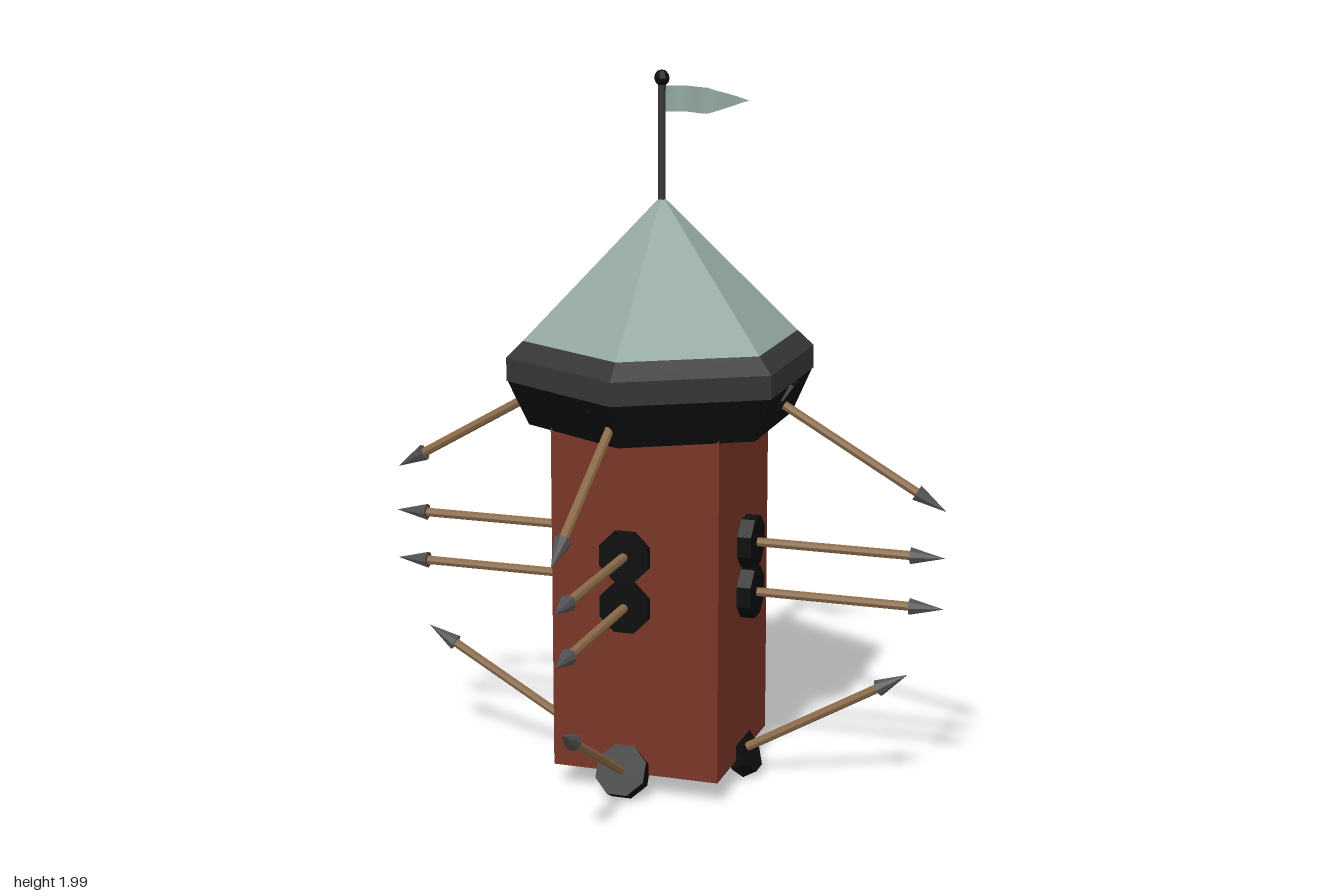
import * as THREE from 'three';

const mat = (color, extra = {}) => new THREE.MeshStandardMaterial({ color, flatShading: true, ...extra });

export function createModel() {
  const model = new THREE.Group();
  const brick = mat(0x783526);
  const slate = mat(0x93a8a1);
  const iron = mat(0x363636);
  const black = mat(0x0d0d0d);
  const wood = mat(0x8a6a48);
  const steel = mat(0x505052);
  const flagCloth = mat(0x93a8a1, { side: THREE.DoubleSide, flatShading: false });
  const cz = 0.01; // the tower axis sits slightly forward

  const add = (parent, name, geometry, material, x = 0, y = 0, z = 0) => {
    const mesh = new THREE.Mesh(geometry, material);
    mesh.name = name;
    mesh.position.set(x, y, z);
    parent.add(mesh);
    return mesh;
  };
  // Six-sided frustum between two heights, corners pointing to front and back
  const hex = (name, rBottom, rTop, y0, y1, material) =>
    add(model, name, new THREE.CylinderGeometry(rTop, rBottom, y1 - y0, 6), material, 0, (y0 + y1) / 2, cz);

  // Tower and hexagonal cap
  add(model, 'towerBody', new THREE.BoxGeometry(0.48, 0.98, 0.48), brick, 0, 0.56, cz);
  hex('capUnderside', 0.374, 0.432, 1.035, 1.16, black);
  hex('capRim', 0.435, 0.435, 1.16, 1.225, iron);
  hex('capBevel', 0.435, 0.388, 1.225, 1.27, iron);
  hex('roof', 0.388, 0, 1.27, 1.66, slate);

  // Flagpole with knob
  add(model, 'flagpole', new THREE.CylinderGeometry(0.011, 0.011, 0.35, 8), iron, 0, 1.805, cz);
  add(model, 'poleKnob', new THREE.SphereGeometry(0.022, 8, 6), black, 0, 1.978, cz);

  // Waving pennant, tapering to a point
  const flag = new THREE.PlaneGeometry(1, 1, 20, 2);
  const p = flag.attributes.position;
  for (let i = 0; i < p.count; i++) {
    const t = p.getX(i) + 0.5;
    const taper = t < 0.55 ? 1 : Math.max(0.03, 1 - ((t - 0.55) / 0.45) ** 1.1);
    p.setXYZ(i, 0.005 + 0.233 * t, p.getY(i) * 0.07 * taper, -0.02 * Math.sin(t * Math.PI * 2.6));
  }
  flag.computeVertexNormals();
  add(model, 'flag', flag, flagCloth, 0, 1.922, cz);

  // Octagonal port with an arrow, built along +y; its origin is the outer face of the port
  const portGeo = new THREE.CylinderGeometry(0.0755, 0.0755, 0.045, 8).rotateY(Math.PI / 8);
  const shaftGeo = new THREE.CylinderGeometry(0.013, 0.013, 0.47, 8);
  const headGeo = new THREE.ConeGeometry(0.024, 0.095, 8);
  const up = new THREE.Vector3(0, 1, 0);
  const arrowPort = (name, x, y, z, yaw, pitch) => {
    const outer = new THREE.Group();
    outer.name = name;
    outer.position.set(x, y, z);
    const inner = new THREE.Group();
    inner.quaternion.setFromUnitVectors(up, new THREE.Vector3(0, Math.sin(pitch), Math.cos(pitch)));
    add(inner, 'port', portGeo, black, 0, -0.0225, 0);
    add(inner, 'arrowShaft', shaftGeo, wood, 0, 0.205, 0);
    add(inner, 'arrowHead', headGeo, steel, 0, 0.4825, 0);
    outer.rotation.y = yaw;
    outer.add(inner);
    model.add(outer);
  };

  // Per side: yaw, outward direction, sideways offsets and the depth of each port
  const sides = [
    { name: 'front', yaw: 0, d: [0, 1], top: [-0.02, 0.375], mid: [-0.025, 0.27], low: [-0.03, 0.285] },
    { name: 'back', yaw: Math.PI, d: [0, -1], top: [-0.03, 0.37], mid: [0.02, 0.25], low: [0.02, 0.233] },
    { name: 'left', yaw: Math.PI / 2, d: [1, 0], top: [0, 0.35], mid: [0.005, 0.28], low: [0, 0.254] },
    { name: 'right', yaw: -Math.PI / 2, d: [-1, 0], top: [0, 0.352], mid: [0.005, 0.286], low: [0, 0.265] },
  ];
  const tilt = Math.PI / 6;
  for (const s of sides) {
    const place = (label, [across, depth], y, pitch) => {
      const x = s.d[0] * depth + (s.d[1] ? across : 0);
      const z = s.d[1] * depth + (s.d[0] ? across : 0);
      arrowPort(s.name + label, x, y, z, s.yaw, pitch);
    };
    place('UpperArrow', s.top, 1.095, -tilt);
    place('MiddleArrowHigh', s.mid, 0.7, 0);
    place('MiddleArrowLow', s.mid, 0.555, 0);
    place('LowerArrow', s.low, 0.09, tilt);
  }
  return model;
}
